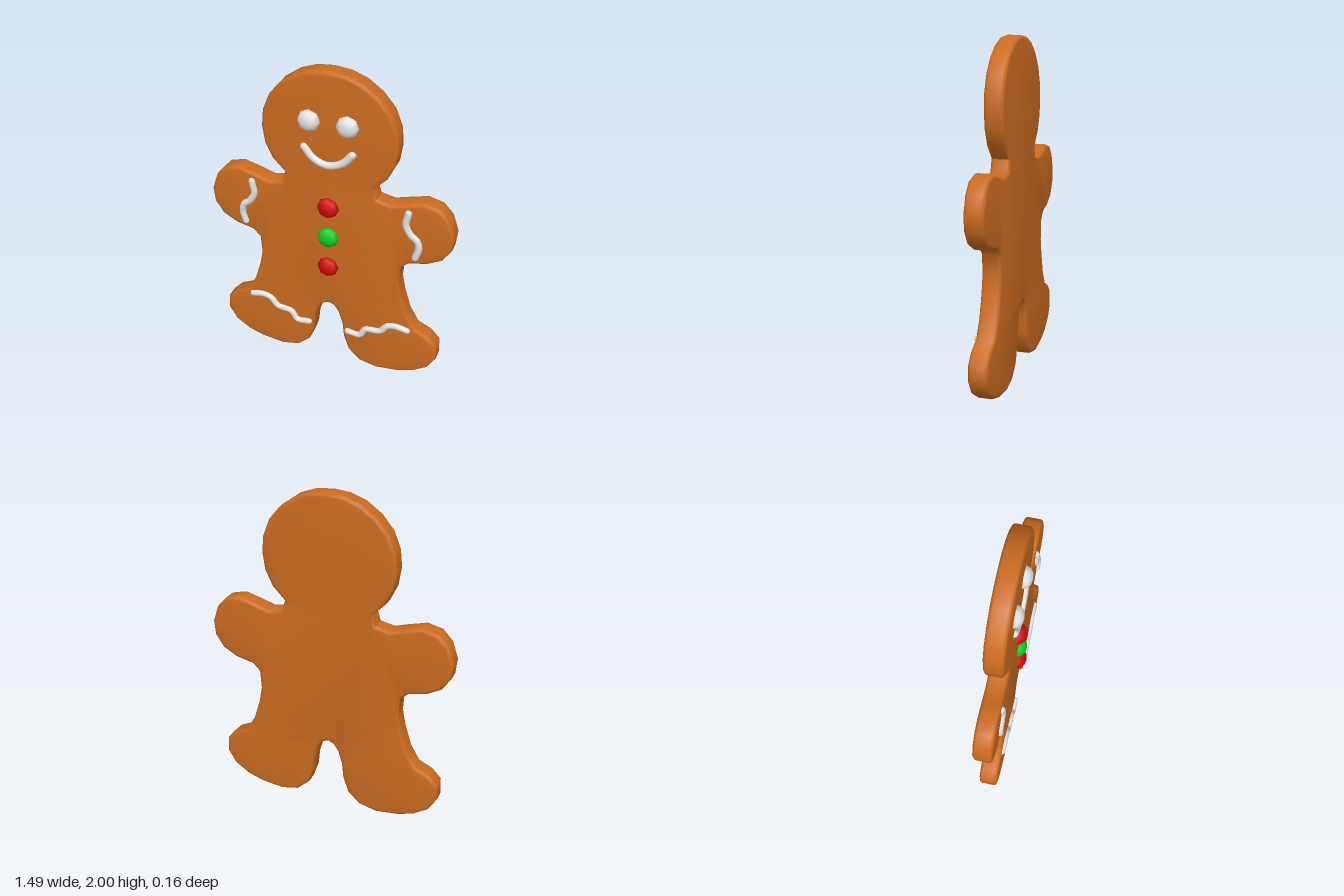
import * as THREE from 'three';
import { toCreasedNormals } from 'three/addons/utils/BufferGeometryUtils.js';

const material = (name, color) => {
  const m = new THREE.MeshStandardMaterial({ color });
  m.name = name;
  return m;
};

export function createModel() {
  const model = new THREE.Group();
  model.name = 'gingerbreadCookie';
  const dough = material('gingerbread', 0xcb6b20);
  const icing = material('whiteIcing', 0xe4e4e4);
  const red = material('redCandy', 0xd00a10);
  const green = material('greenCandy', 0x0ccc22);
  const back = -0.08, front = 0.033;

  const add = (name, geometry, mat, parent = model) => {
    const mesh = new THREE.Mesh(geometry, mat);
    mesh.name = name;
    parent.add(mesh);
    return mesh;
  };

  // Half outline from the crown down to the crotch, mirrored for the other side
  const half = [
    [0, 2], [0.1, 1.99], [0.19, 1.957], [0.28, 1.893], [0.35, 1.81], [0.39, 1.71],
    [0.4, 1.61], [0.385, 1.505], [0.34, 1.41], [0.267, 1.335], [0.287, 1.27],
    [0.37, 1.253], [0.46, 1.28], [0.56, 1.307], [0.65, 1.285], [0.71, 1.22],
    [0.744, 1.12], [0.735, 1.03], [0.685, 0.952], [0.6, 0.905], [0.49, 0.88],
    [0.447, 0.835], [0.44, 0.72], [0.46, 0.62], [0.5, 0.49], [0.555, 0.395],
    [0.64, 0.355], [0.695, 0.295], [0.7, 0.2], [0.65, 0.115], [0.56, 0.055],
    [0.46, 0.022], [0.32, 0.005], [0.21, 0.03], [0.135, 0.1], [0.1, 0.2],
    [0.09, 0.3], [0.065, 0.385], [0.035, 0.43], [0, 0.445],
  ];
  const mirrored = half.slice(1, -1).reverse().map(([x, y]) => [-x, y]);
  const outline = [...half, ...mirrored].map(([x, y]) => new THREE.Vector2(x, y));

  // Body: one flat slab with rounded rims
  const bevel = 0.02;
  const bodyGeometry = new THREE.ExtrudeGeometry(new THREE.Shape(outline), {
    depth: front - back - 2 * bevel,
    bevelEnabled: true, bevelSize: bevel, bevelThickness: bevel,
    bevelOffset: -bevel, bevelSegments: 3,
  });
  bodyGeometry.translate(0, 0, back + bevel);
  add('body', toCreasedNormals(bodyGeometry, 0.75), dough);

  // Domed candies: eyes and buttons
  const dome = new THREE.SphereGeometry(1, 8, 6);
  dome.rotateX(Math.PI / 2);
  const candy = (name, x, y, mat) => {
    const mesh = add(name, dome, mat);
    mesh.position.set(x, y, front);
    mesh.scale.set(0.066, 0.066, 0.047);
  };
  candy('leftEye', 0.112, 1.7, icing);
  candy('rightEye', -0.112, 1.7, icing);
  candy('topButton', 0, 1.157, red);
  candy('middleButton', 0, 0.95, green);
  candy('bottomButton', 0, 0.735, red);

  // Piped icing: a tube with round ends
  const piping = (name, points, radius) => {
    const group = new THREE.Group();
    group.name = name;
    model.add(group);
    const path = points.map(([x, y]) => new THREE.Vector3(x, y, front));
    const curve = new THREE.CatmullRomCurve3(path);
    add(name + 'Strand', new THREE.TubeGeometry(curve, 28, radius, 8), icing, group);
    for (const end of [path[0], path[path.length - 1]]) {
      const tip = add(name + 'Tip', new THREE.SphereGeometry(radius, 8, 6), icing, group);
      tip.position.copy(end);
    }
  };
  piping('smile', [[-0.142, 1.532], [-0.085, 1.468], [0, 1.438], [0.085, 1.468], [0.142, 1.532]], 0.023);

  const cuff = [[0.476, 1.232], [0.466, 1.15], [0.495, 1.093], [0.535, 1.058], [0.547, 1.01], [0.53, 0.94]];
  const ankle = [[0.13, 0.26], [0.21, 0.256], [0.25, 0.312], [0.342, 0.328], [0.385, 0.378], [0.435, 0.394], [0.512, 0.381]];
  for (const [side, s] of [['left', 1], ['right', -1]]) {
    const flip = (points) => points.map(([x, y]) => [s * x, y]);
    piping(side + 'ArmIcing', flip(cuff), 0.021);
    piping(side + 'LegIcing', flip(ankle), 0.021);
  }
  return model;
}
